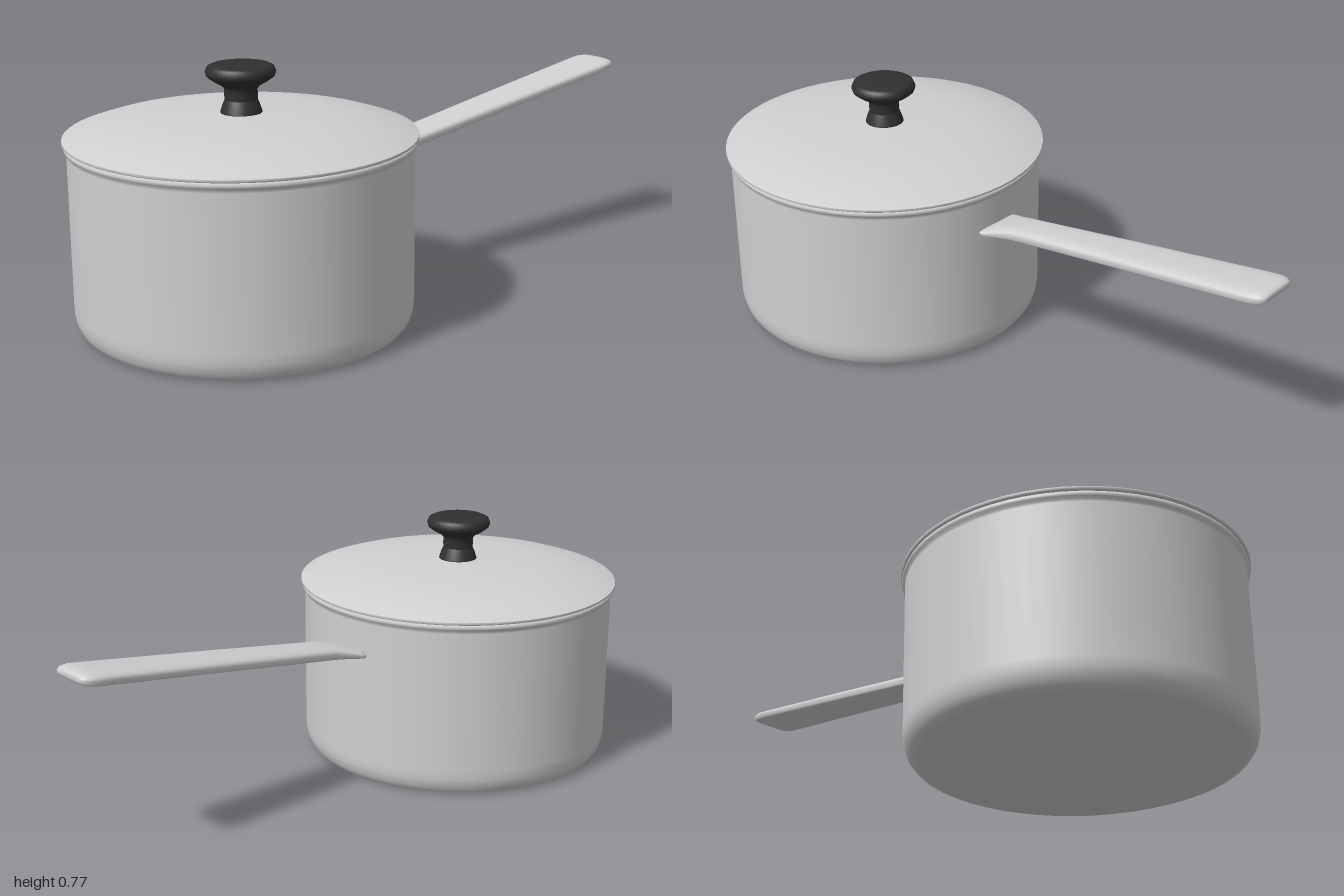
import * as THREE from 'three';

const steel = new THREE.MeshStandardMaterial({ color: 0xd0d0d2 });
steel.name = 'brushed steel';
const black = new THREE.MeshStandardMaterial({ color: 0x303030 });
black.name = 'black plastic';

const POT_X = -0.493;

// Spins a [radius, y] profile; a repeated point makes a sharp edge
function turned(name, profile, material, segments = 64) {
  const points = profile.map(([r, y]) => new THREE.Vector2(r, y));
  const mesh = new THREE.Mesh(new THREE.LatheGeometry(points, segments), material);
  mesh.name = name;
  mesh.position.x = POT_X;
  return mesh;
}

// Handle skinned over [x, bottom, top, half width] cross-sections
function handleGeometry() {
  const sections = [
    [-0.02, 0.41, 0.432, 0.082],
    [0.01, 0.413, 0.438, 0.08],
    [0.05, 0.418, 0.452, 0.068],
    [0.1, 0.425, 0.466, 0.061],
    [0.16, 0.434, 0.476, 0.061],
    [0.5, 0.489, 0.53, 0.07],
    [0.92, 0.556, 0.595, 0.08],
    [0.96, 0.562, 0.601, 0.079],
    [0.982, 0.567, 0.601, 0.073],
    [0.994, 0.573, 0.597, 0.062],
    [0.997, 0.579, 0.591, 0.05],
  ];
  const N = 28;
  const power = (v, e) => Math.sign(v) * Math.abs(v) ** e;
  const positions = [];
  const index = [];
  for (const [x, low, high, w] of sections) {
    for (let i = 0; i < N; i++) {
      const a = (i / N) * Math.PI * 2;
      // Domed above, flatter below
      const e = Math.sin(a) > 0 ? 0.8 : 0.4;
      const y = (low + high) / 2 + power(Math.sin(a), e) * (high - low) / 2;
      positions.push(x, y, w * power(Math.cos(a), 0.6));
    }
  }
  for (let s = 0; s < sections.length - 1; s++) {
    for (let i = 0; i < N; i++) {
      const a = s * N + i, b = s * N + (i + 1) % N;
      index.push(a, a + N, b, b, a + N, b + N);
    }
  }
  // End caps
  const last = (sections.length - 1) * N;
  for (let i = 1; i < N - 1; i++) {
    index.push(0, i, i + 1);
    index.push(last, last + i + 1, last + i);
  }
  const geometry = new THREE.BufferGeometry();
  geometry.setAttribute('position', new THREE.Float32BufferAttribute(positions, 3));
  geometry.setIndex(index);
  geometry.computeVertexNormals();
  return geometry;
}

export function createModel() {
  const model = new THREE.Group();
  model.name = 'saucepan';

  // Pot wall with rounded base, small rolled rim and hollow inside
  model.add(turned('pot', [
    [0, 0], [0.455, 0], [0.455, 0], [0.473, 0.007], [0.486, 0.025], [0.493, 0.052],
    [0.494, 0.08], [0.494, 0.525], [0.495, 0.533], [0.501, 0.539], [0.503, 0.546], [0.5, 0.553],
    [0.485, 0.553], [0.48, 0.54], [0.48, 0.06], [0.45, 0.015], [0, 0.015],
  ], steel));

  // Shallow domed lid with a thin overhanging lip
  model.add(turned('lid', [
    [0, 0.612], [0.27, 0.603], [0.44, 0.573], [0.485, 0.555], [0.485, 0.555],
    [0.503, 0.555], [0.507, 0.558], [0.506, 0.564], [0.506, 0.564],
    [0.44, 0.586], [0.36, 0.602], [0.27, 0.615], [0.14, 0.622], [0, 0.626],
  ], steel));

  // Waisted knob
  model.add(turned('knob', [
    [0, 0.62], [0.06, 0.62], [0.06, 0.626], [0.06, 0.626], [0.054, 0.645], [0.047, 0.662],
    [0.047, 0.662], [0.048, 0.675], [0.047, 0.692], [0.055, 0.703], [0.08, 0.717],
    [0.097, 0.73], [0.101, 0.742], [0.095, 0.756], [0.085, 0.761], [0.05, 0.765], [0, 0.766],
  ], black, 40));

  // Long upswept handle
  const handle = new THREE.Mesh(handleGeometry(), steel);
  handle.name = 'handle';
  model.add(handle);

  return model;
}
